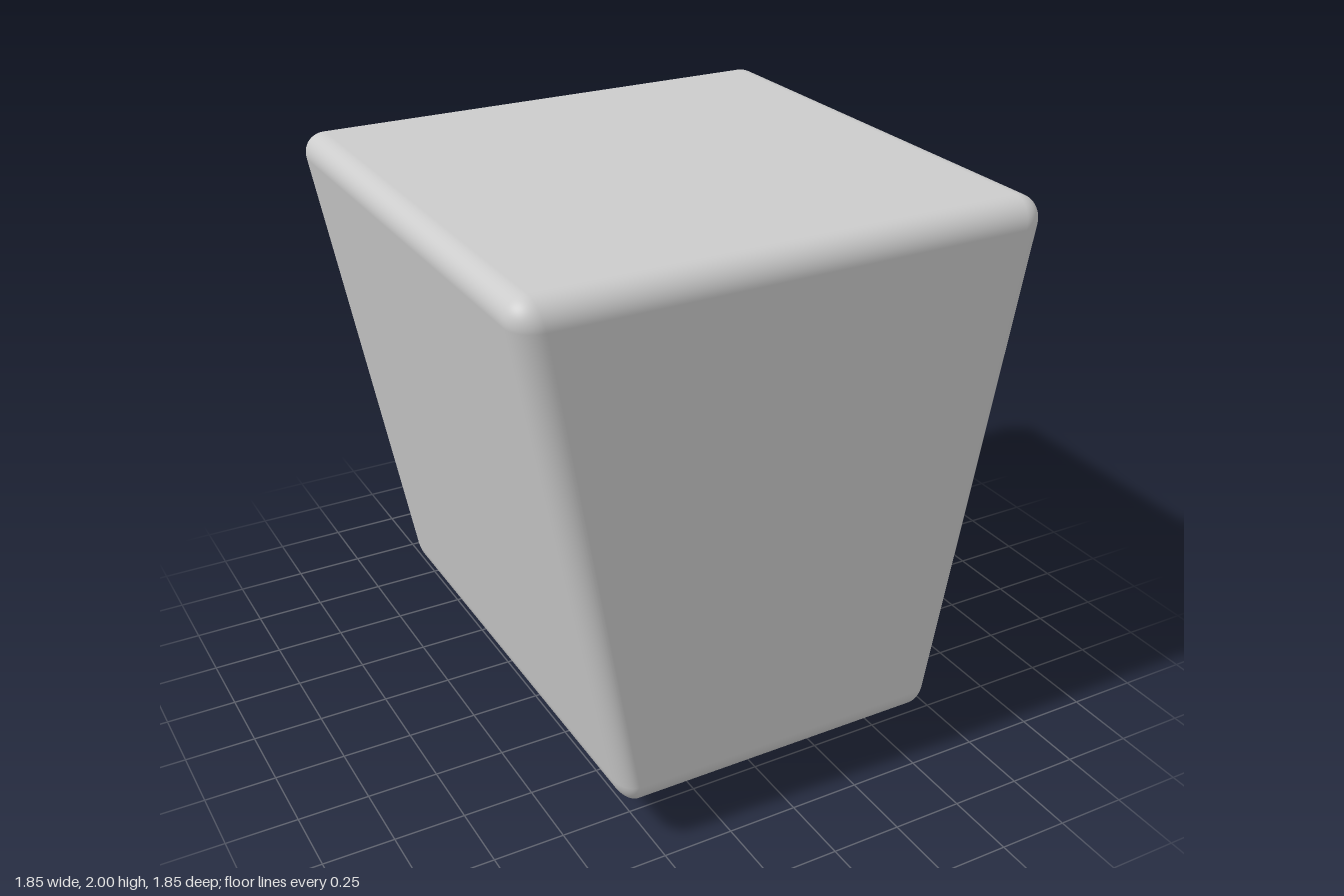
import * as THREE from 'three';
import { RoundedBoxGeometry } from 'three/addons/geometries/RoundedBoxGeometry.js';

const BOTTOM = 0.155, TOP = 2, WIDTH = 1.845, RADIUS = 0.09;

// Rounded cube whose width narrows towards the bottom
function taperedBody() {
  const height = TOP - BOTTOM;
  const geo = new RoundedBoxGeometry(WIDTH, height, WIDTH, 8, RADIUS);
  geo.translate(0, BOTTOM + height / 2, 0);
  const bottomScale = 0.645, topScale = 1.018;
  const slope = (topScale - bottomScale) / height;
  const pos = geo.attributes.position, nor = geo.attributes.normal;
  const n = new THREE.Vector3();
  for (let i = 0; i < pos.count; i++) {
    const x = pos.getX(i);
    const s = bottomScale + slope * (pos.getY(i) - BOTTOM);
    pos.setX(i, x * s);
    // carry the smooth normals through the taper
    n.fromBufferAttribute(nor, i);
    n.set(n.x / s, n.y - (x * slope * n.x) / s, n.z).normalize();
    nor.setXYZ(i, n.x, n.y, n.z);
  }
  return geo;
}

// Rectangular foot with its lower edge chamfered at 45 degrees
function chamferedFoot() {
  const chamfer = 0.095, halfX = 0.455, halfZ = 0.692;
  const box = new THREE.BoxGeometry(halfX * 2, chamfer * 2, halfZ * 2, 1, 2, 1);
  box.translate(0, chamfer, 0);
  const pos = box.attributes.position;
  for (let i = 0; i < pos.count; i++) {
    if (pos.getY(i) > 0.001) continue;
    pos.setX(i, Math.sign(pos.getX(i)) * (halfX - chamfer));
    pos.setZ(i, Math.sign(pos.getZ(i)) * (halfZ - chamfer));
  }
  const geo = box.toNonIndexed();
  geo.computeVertexNormals();
  return geo;
}

export function createModel() {
  const group = new THREE.Group();
  const material = new THREE.MeshStandardMaterial({ color: 0xcccccc });
  const add = (name, geometry) => {
    const mesh = new THREE.Mesh(geometry, material);
    mesh.name = name;
    group.add(mesh);
  };
  add('body', taperedBody());
  add('foot', chamferedFoot());
  return group;
}
